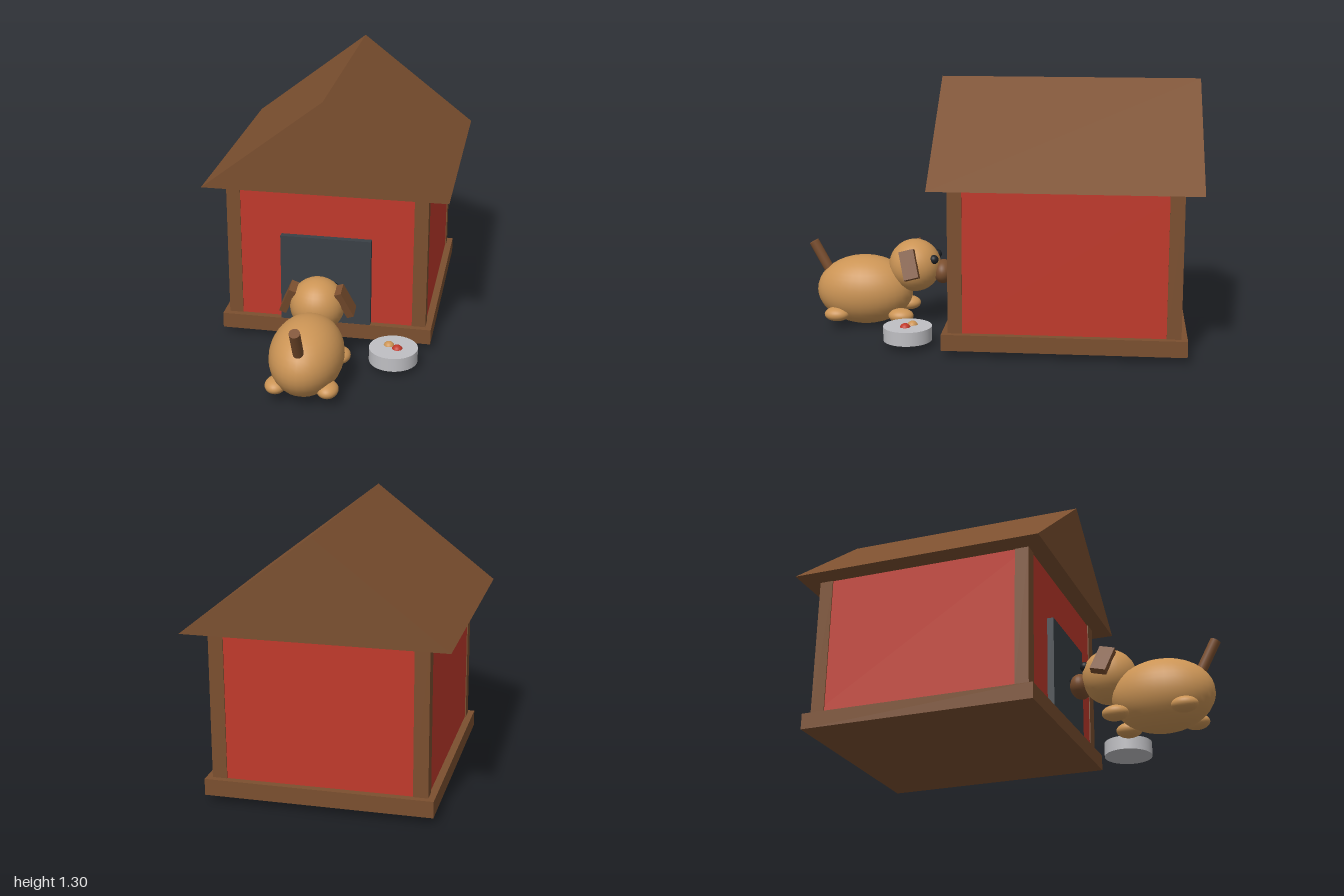
import * as THREE from 'three';

const mat = (name, color) => {
  const m = new THREE.MeshStandardMaterial({ color });
  m.name = name;
  return m;
};

export function createModel() {
  const red = mat('barn red', 0xc0392b);
  const wood = mat('wood brown', 0x7b4f2f);
  const slate = mat('dark slate', 0x3a4046);
  const fur = mat('tan fur', 0xcb9455);
  const metal = mat('bowl grey', 0xbfbfc3);
  const black = mat('black', 0x1d2126);

  const model = new THREE.Group();
  model.name = 'kennelWithDog';

  const add = (parent, name, geometry, material, x, y, z) => {
    const mesh = new THREE.Mesh(geometry, material);
    mesh.name = name;
    mesh.position.set(x, y, z);
    parent.add(mesh);
    return mesh;
  };
  const box = (parent, name, material, w, h, d, x, y, z) =>
    add(parent, name, new THREE.BoxGeometry(w, h, d), material, x, y, z);
  const ball = (parent, name, material, rx, ry, rz, x, y, z) =>
    add(parent, name, new THREE.SphereGeometry(1, 32, 20).scale(rx, ry, rz), material, x, y, z);

  // Kennel: floor, walls, corner posts, doorway
  const kennel = new THREE.Group();
  kennel.name = 'kennel';
  model.add(kennel);
  const midZ = -0.355;
  box(kennel, 'floor', wood, 1.08, 0.08, 1.18, 0, 0.075, midZ);
  box(kennel, 'walls', red, 1.01, 0.715, 1.11, 0, 0.4725, midZ);
  for (const sx of [-1, 1]) {
    for (const sz of [-1, 1]) {
      box(kennel, 'cornerPost', wood, 0.07, 0.715, 0.07, sx * 0.475, 0.4725, midZ + sz * 0.525);
    }
  }
  box(kennel, 'doorway', slate, 0.46, 0.46, 0.04, 0, 0.345, 0.213);

  // Gable roof as one solid prism
  const gable = new THREE.Shape([
    new THREE.Vector2(-0.615, 0.83),
    new THREE.Vector2(0.615, 0.83),
    new THREE.Vector2(0, 1.305),
  ]);
  add(kennel, 'roof', new THREE.ExtrudeGeometry(gable, { depth: 1.29, bevelEnabled: false }), wood, 0, 0, -1);

  // Dog, looking into the kennel
  const dog = new THREE.Group();
  dog.name = 'dog';
  model.add(dog);
  ball(dog, 'body', fur, 0.178, 0.181, 0.252, 0, 0.183, 0.707);
  ball(dog, 'head', fur, 0.135, 0.137, 0.135, 0, 0.318, 0.443);
  ball(dog, 'muzzle', wood, 0.073, 0.062, 0.052, 0, 0.288, 0.295);
  ball(dog, 'nose', black, 0.026, 0.024, 0.024, 0, 0.323, 0.262);
  for (const s of [-1, 1]) {
    ball(dog, 'eye', black, 0.024, 0.024, 0.024, s * 0.062, 0.364, 0.335);
    const ear = box(dog, 'ear', wood, 0.036, 0.15, 0.078, s * 0.14, 0.351, 0.451);
    ear.rotation.set(0.26, 0, s * 0.4);
    ball(dog, 'frontPaw', fur, 0.052, 0.037, 0.065, s * 0.124, 0.078, 0.5);
    ball(dog, 'hindPaw', fur, 0.052, 0.037, 0.065, s * 0.124, 0.078, 0.835);
  }
  const tail = add(dog, 'tail', new THREE.CylinderGeometry(0.026, 0.026, 0.2, 20), wood, 0, 0.345, 0.929);
  tail.rotation.x = 0.49;

  // Food bowl
  const bowl = new THREE.Group();
  bowl.name = 'foodBowl';
  model.add(bowl);
  add(bowl, 'bowl', new THREE.CylinderGeometry(0.121, 0.121, 0.07, 40), metal, 0.377, 0.07, 0.423);
  ball(bowl, 'redTreat', red, 0.028, 0.028, 0.028, 0.397, 0.095, 0.432);
  ball(bowl, 'tanTreat', fur, 0.028, 0.028, 0.028, 0.352, 0.095, 0.402);

  return model;
}
